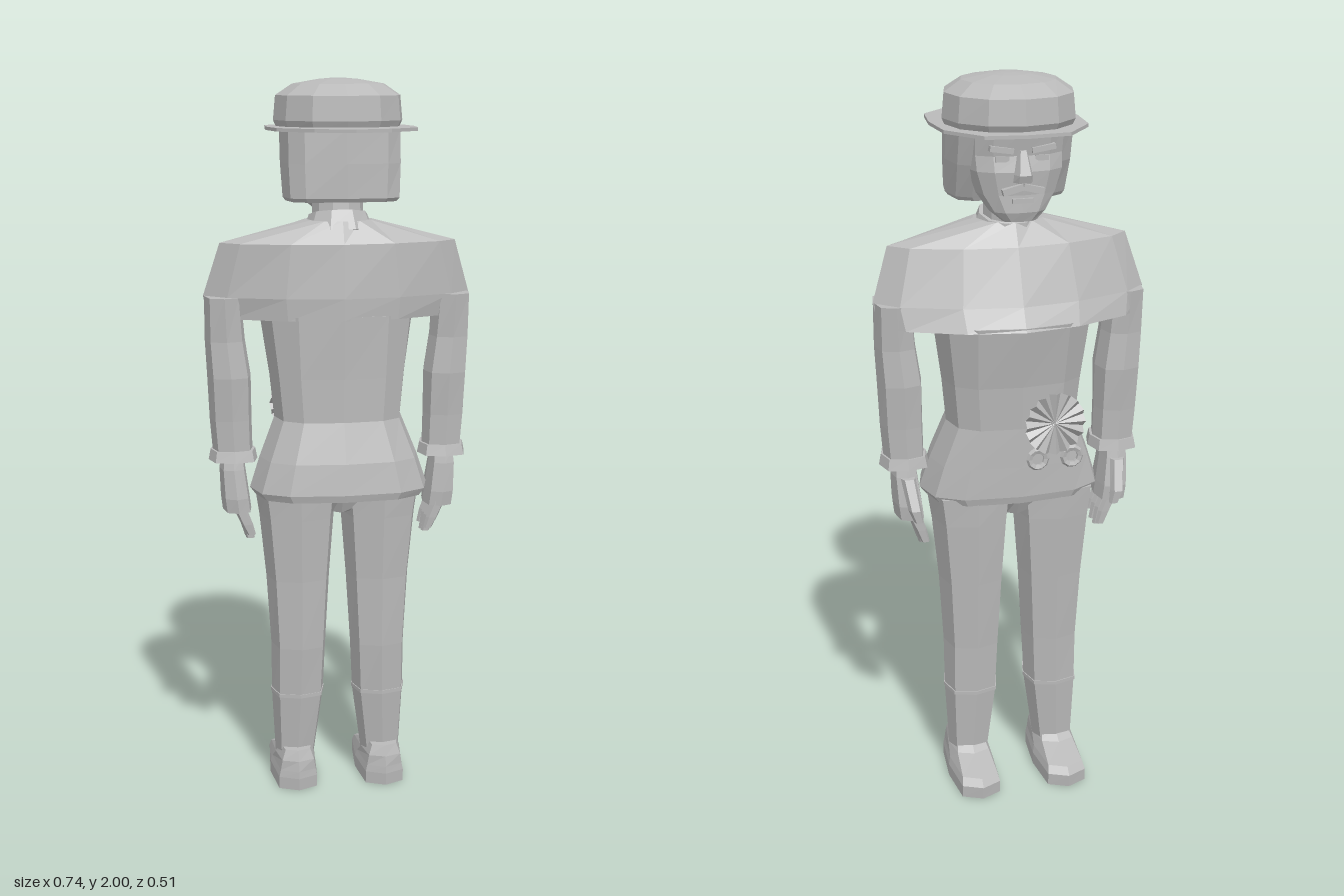
import * as THREE from 'three';

const grey = new THREE.MeshStandardMaterial({ color: 0xb9b9b9, flatShading: true, side: THREE.DoubleSide });
grey.name = 'plain grey';

// Closed low-poly body from rings [y, centreX, halfX, zMax, zMin, power]; power < 1 is boxier, > 1 more pointed
function loft(rings, n = 8) {
  const pos = [], idx = [];
  const pw = (v, p) => (Math.abs(v) < 1e-6 ? 0 : Math.sign(v) * Math.abs(v) ** p);
  for (const [y, cx, hx, z1, z0, p = 0.7] of rings) {
    for (let i = 0; i < n; i++) {
      const t = (i / n) * Math.PI * 2;
      pos.push(cx + hx * pw(Math.cos(t), p), y, (z1 + z0) / 2 + ((z1 - z0) / 2) * pw(Math.sin(t), p));
    }
  }
  for (let r = 0; r < rings.length - 1; r++) {
    for (let i = 0; i < n; i++) {
      const a = r * n + i, b = r * n + ((i + 1) % n);
      idx.push(a, a + n, b, b, a + n, b + n);
    }
  }
  const top = (rings.length - 1) * n, c = rings.length * n;
  for (const [y, cx, , z1, z0] of [rings[0], rings[rings.length - 1]]) pos.push(cx, y, (z1 + z0) / 2);
  for (let i = 0; i < n; i++) {
    const k = (i + 1) % n;
    idx.push(c, i, k, c + 1, top + k, top + i);
  }
  const g = new THREE.BufferGeometry();
  g.setAttribute('position', new THREE.Float32BufferAttribute(pos, 3));
  g.setIndex(idx);
  const flat = g.toNonIndexed();
  flat.computeVertexNormals();
  return flat;
}

export function createModel() {
  const model = new THREE.Group();
  const add = (name, geometry, x = 0, y = 0, z = 0, rx = 0, rz = 0) => {
    const m = new THREE.Mesh(geometry, grey);
    m.name = name;
    m.position.set(x, y, z);
    m.rotation.set(rx, 0, rz);
    model.add(m);
    return m;
  };
  const box = (w, h, d) => new THREE.BoxGeometry(w, h, d);

  // Jacket: flared skirt, waist and chest, then the wide pointed shoulders
  add('jacket', loft([
    [0.865, 0, 0.235, 0.105, -0.185],
    [0.885, 0, 0.25, 0.11, -0.19],
    [0.97, 0, 0.222, 0.098, -0.19],
    [1.08, 0, 0.178, 0.068, -0.19],
    [1.2, 0, 0.19, 0.068, -0.2],
    [1.37, 0, 0.215, 0.075, -0.232, 0.8],
  ], 12));
  add('shoulders', loft([
    [1.36, 0, 0.358, 0.075, -0.235, 1.25],
    [1.42, 0, 0.37, 0.076, -0.205, 1.25],
    [1.565, 0, 0.325, 0.065, -0.15, 1.2],
    [1.625, 0, 0.095, 0.04, -0.12, 1],
  ], 12));

  // Collar and neck
  add('collar', loft([
    [-0.03, 0, 0.1, 0.085, -0.095, 0.9],
    [0.025, 0, 0.08, 0.075, -0.08, 0.9],
  ], 10), 0, 1.615, -0.04, -0.22);
  add('neck', loft([
    [1.58, 0, 0.07, 0.015, -0.11, 1],
    [1.72, 0, 0.07, 0, -0.125, 1],
  ], 10));

  // Hair: squared bob that is swept forward at the temples
  add('hair', loft([
    [1.68, 0, 0.15, 0.105, -0.095, 0.55],
    [1.69, 0, 0.158, 0.112, -0.1, 0.55],
    [1.78, 0, 0.162, 0.113, -0.145, 0.55],
    [1.87, 0, 0.162, 0.112, -0.175, 0.55],
  ], 12));

  // Face with chin, nose, brows, eyes and moustache on the -z side
  add('face', loft([
    [1.64, 0, 0.045, -0.12, -0.18, 0.8],
    [1.665, 0, 0.075, -0.07, -0.19, 0.8],
    [1.71, 0, 0.105, -0.04, -0.188, 0.8],
    [1.77, 0, 0.125, -0.02, -0.195, 0.8],
    [1.81, 0, 0.128, -0.02, -0.186, 0.8],
    [1.87, 0, 0.13, -0.02, -0.198, 0.8],
  ], 12));
  add('nose', loft([
    [1.745, 0, 0.026, -0.17, -0.212],
    [1.765, 0, 0.024, -0.17, -0.22],
    [1.825, 0, 0.012, -0.17, -0.197],
  ], 6));
  add('lowerLip', box(0.055, 0.012, 0.02), 0, 1.697, -0.185);
  for (const s of [1, -1]) {
    add('eye', box(0.036, 0.014, 0.012), s * 0.052, 1.803, -0.178);
    add('brow', box(0.062, 0.014, 0.022), s * 0.055, 1.828, -0.182, 0, s * 0.15);
    add('moustache', box(0.055, 0.017, 0.022), s * 0.027, 1.727, -0.19, 0, -s * 0.25);
  }

  // Hat: faceted crown over a long pointed brim
  add('hatCrown', loft([
    [1.865, 0, 0.165, 0.115, -0.205, 0.95],
    [1.89, 0, 0.176, 0.127, -0.22, 0.95],
    [1.955, 0, 0.17, 0.122, -0.215, 0.95],
    [1.985, 0, 0.125, 0.075, -0.165, 0.95],
    [1.997, 0, 0.055, 0.01, -0.1, 1],
    [2.0, 0, 0.02, -0.025, -0.065, 1],
  ], 12));
  const half = [[0.1, 0.21], [0.186, 0.12], [0.2, 0], [0.19, -0.13], [0.112, -0.238]];
  const outline = [[0, 0.255], ...half, [0, -0.252], ...half.map(([x, z]) => [-x, z]).reverse()];
  const brim = new THREE.ExtrudeGeometry(
    new THREE.Shape(outline.map(([x, z]) => new THREE.Vector2(x, z))), { depth: 0.009, bevelEnabled: false });
  add('hatBrim', brim.rotateX(Math.PI / 2), 0, 1.874, 0);

  for (const s of [1, -1]) {
    // Sleeve with cuff
    add('sleeve', loft([
      [0.98, s * 0.295, 0.055, 0.005, -0.115],
      [1.08, s * 0.3, 0.058, 0.008, -0.118],
      [1.2, s * 0.303, 0.06, 0.018, -0.128],
      [1.3, s * 0.313, 0.055, 0.012, -0.122],
      [1.42, s * 0.318, 0.05, 0.02, -0.13],
    ]));
    add('cuff', loft([
      [0.965, s * 0.295, 0.068, 0.02, -0.127],
      [0.995, s * 0.295, 0.062, 0.012, -0.12],
    ]));
    // Hand: palm, four fingers and thumb
    add('palm', loft([
      [0.82, s * 0.285, 0.04, 0.01, -0.13],
      [0.86, s * 0.29, 0.04, 0.012, -0.132],
      [0.94, s * 0.297, 0.036, 0, -0.115],
      [0.975, s * 0.297, 0.032, -0.01, -0.105],
    ]));
    for (let i = 0; i < 4; i++) {
      const z = -0.01 - i * 0.032, end = [0.755, 0.738, 0.735, 0.748][i];
      add('finger', loft([
        [end, s * 0.25, 0.012, z + 0.011, z - 0.011],
        [0.785, s * 0.262, 0.016, z + 0.014, z - 0.014],
        [0.835, s * 0.283, 0.018, z + 0.015, z - 0.015],
      ], 6));
    }
    add('thumb', loft([
      [0.825, s * 0.275, 0.013, -0.135, -0.162],
      [0.86, s * 0.285, 0.018, -0.12, -0.165],
      [0.94, s * 0.295, 0.02, -0.09, -0.13],
    ], 6));

    // Trouser leg tapering to the ankle, with a band on the shin
    add('leg', loft([
      [0.08, s * 0.125, 0.056, -0.005, -0.128],
      [0.27, s * 0.117, 0.074, 0.018, -0.142],
      [0.42, s * 0.114, 0.078, 0.03, -0.148],
      [0.62, s * 0.114, 0.09, 0.035, -0.16],
      [0.8, s * 0.116, 0.106, 0.045, -0.172],
      [0.88, s * 0.117, 0.117, 0.05, -0.175],
    ]));
    add('shinBand', loft([
      [0.272, s * 0.117, 0.077, 0.021, -0.145],
      [0.282, s * 0.117, 0.077, 0.021, -0.145],
    ]));
    // Shoe, low at the toe
    add('shoe', loft([
      [0, s * 0.126, 0.066, 0.04, -0.255, 0.55],
      [0.035, s * 0.126, 0.066, 0.042, -0.257, 0.55],
      [0.055, s * 0.126, 0.061, 0.04, -0.24, 0.55],
      [0.085, s * 0.126, 0.056, 0.035, -0.15, 0.6],
      [0.115, s * 0.126, 0.045, 0.025, -0.11, 0.7],
    ]));
  }
  add('seat', loft([
    [0.815, 0, 0.03, 0.02, -0.14],
    [0.88, 0, 0.2, 0.05, -0.175],
  ]));

  // Crumpled round ornament on the belly: a pleated fan with two curls below
  const fan = new THREE.CircleGeometry(0.085, 32);
  const p = fan.attributes.position;
  for (let i = 1; i < p.count; i++) p.setZ(i, i % 2 ? 0.012 : -0.004);
  add('bellyFan', fan.toNonIndexed(), -0.09, 1.09, -0.196).rotation.y = Math.PI + 0.12;
  for (const x of [-0.14, -0.045]) {
    add('fanCurl', new THREE.TorusGeometry(0.024, 0.009, 5, 10), x, 0.99, -0.187);
  }

  return model;
}
